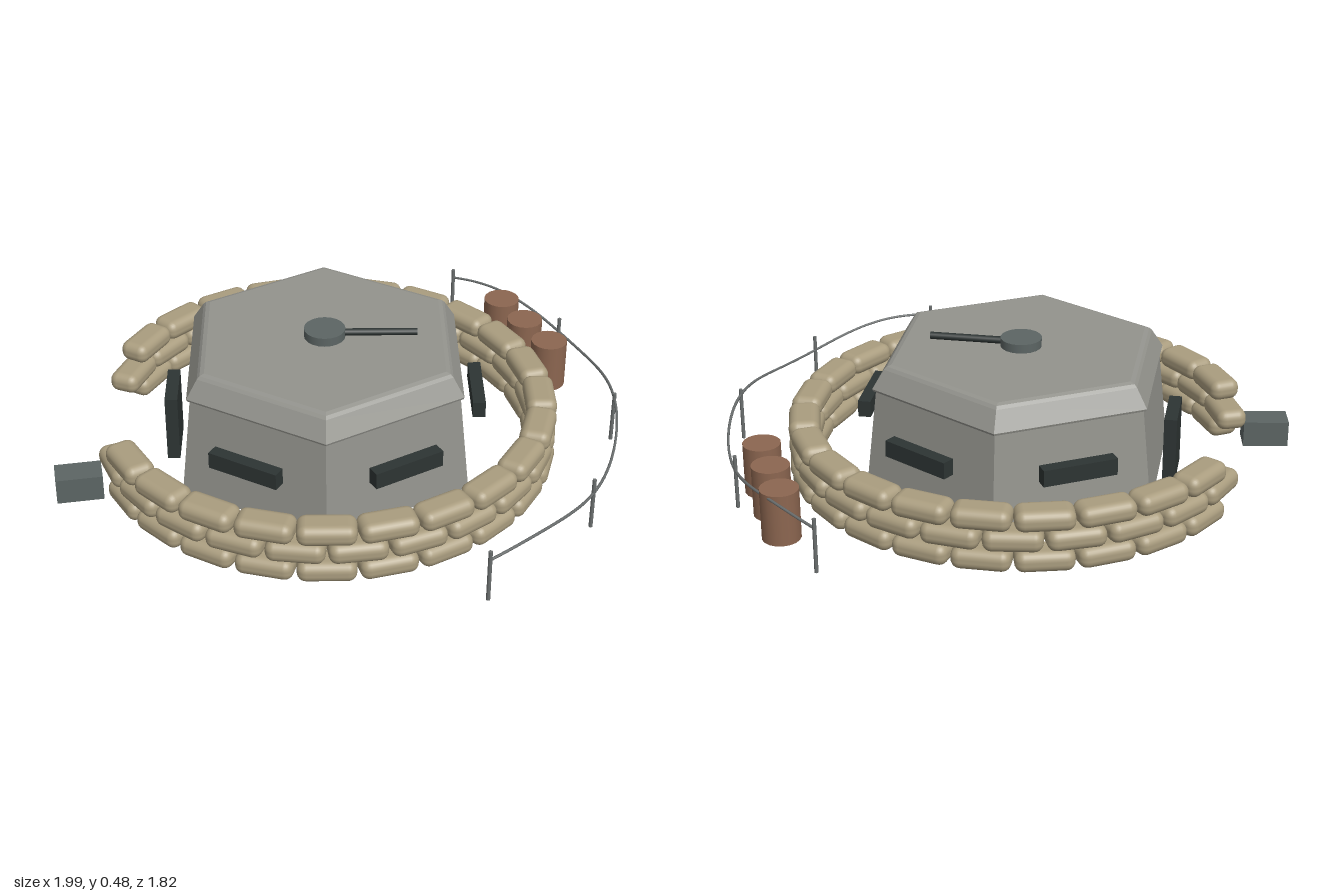
import * as THREE from 'three';
import { RoundedBoxGeometry } from 'three/addons/geometries/RoundedBoxGeometry.js';

const CX = -0.05; // shared centre of bunker, sandbag ring and wire
const RAD = Math.PI / 180;

function material(name, color) {
  const m = new THREE.MeshStandardMaterial({ color });
  m.name = name;
  return m;
}

export function createModel() {
  const concrete = material('concrete', 0x93938d);
  const sandbag = material('sandbag', 0xaa9d7f);
  const rust = material('rust', 0x8c6650);
  const steel = material('steel', 0x5c6564);
  const dark = material('dark metal', 0x2d3433);
  const wireGrey = material('wire grey', 0x6c7070);

  const model = new THREE.Group();
  model.name = 'bunker';

  function add(name, geometry, mat, x, y, z, rotY = 0, parent = model) {
    const mesh = new THREE.Mesh(geometry, mat);
    mesh.name = name;
    mesh.position.set(x, y, z);
    mesh.rotation.y = rotY;
    parent.add(mesh);
    return mesh;
  }
  function addGroup(name) {
    const g = new THREE.Group();
    g.name = name;
    model.add(g);
    return g;
  }
  // Place something on a circle round the bunker, angle measured from +x
  const polar = (deg, r) => [CX + r * Math.cos(deg * RAD), -r * Math.sin(deg * RAD)];

  // Six-sided faceted body from a [radius, height] profile
  function hexBody(profile) {
    const pts = profile.map(([r, y]) => new THREE.Vector2(r, y));
    const g = new THREE.LatheGeometry(pts, 6).toNonIndexed();
    g.computeVertexNormals();
    return g;
  }

  // Concrete walls and bevelled roof slab
  add('walls', hexBody([[0, 0], [0.577, 0], [0.535, 0.356], [0, 0.356]]), concrete, CX, 0, 0);
  add('roof', hexBody([
    [0, 0.355], [0.533, 0.355], [0.545, 0.36], [0.548, 0.368],
    [0.504, 0.435], [0.493, 0.445], [0.476, 0.45], [0, 0.45],
  ]), concrete, CX, 0, 0);

  // Firing slits on five sides, door on the remaining one
  const slits = addGroup('firingSlits');
  const slitGeo = new THREE.BoxGeometry(0.045, 0.06, 0.265);
  for (const deg of [0, 60, 120, 240, 300]) {
    const [x, z] = polar(deg, 0.542);
    add('firingSlit', slitGeo, dark, x, 0.22, z, deg * RAD, slits);
  }
  add('door', new THREE.BoxGeometry(0.045, 0.25, 0.2), dark, CX - 0.543, 0.125, 0);

  // Roof turret and gun barrel
  add('turret', new THREE.CylinderGeometry(0.073, 0.073, 0.034, 20), steel, CX, 0.465, 0);
  const gun = add('gunBarrel', new THREE.CylinderGeometry(0.013, 0.013, 0.32, 10), dark, CX + 0.165, 0.465, 0);
  gun.rotation.z = Math.PI / 2;

  // Three staggered courses of sandbags, open on the door side
  const wall = addGroup('sandbagWall');
  const bagGeo = new RoundedBoxGeometry(0.11, 0.075, 0.2, 3, 0.032);
  for (let row = 0; row < 3; row++) {
    const last = row === 1 ? 157.5 : 150;
    for (let deg = -last; deg <= last; deg += 15) {
      const [x, z] = polar(deg, 0.77);
      add('sandbag', bagGeo, sandbag, x, 0.04 + row * 0.0735, z, deg * RAD, wall);
    }
  }

  // Fuel drums
  const drums = addGroup('drums');
  const drumGeo = new THREE.CylinderGeometry(0.067, 0.067, 0.185, 18);
  for (const [x, z] of [[0.645, -0.695], [0.72, -0.54], [0.797, -0.385]]) {
    add('drum', drumGeo, rust, x, 0.0925, z, 0, drums);
  }

  // Crate by the entrance
  add('crate', new THREE.BoxGeometry(0.163, 0.095, 0.098), steel, -0.909, 0.0475, 0.305, 0.165);

  // Fence posts and the sagging wire along them
  const fence = addGroup('wireFence');
  const postGeo = new THREE.CylinderGeometry(0.007, 0.007, 0.197, 8);
  for (let deg = -60; deg <= 60; deg += 30) {
    const [x, z] = polar(deg, 1.04);
    add('post', postGeo, wireGrey, x, 0.0985, z, 0, fence);
  }
  const wirePts = [];
  for (let deg = -60; deg <= 60; deg += 4) {
    const [x, z] = polar(deg, 1.04);
    wirePts.push(new THREE.Vector3(x, 0.156 + 0.02 * Math.cos(7.2 * deg * RAD), z));
  }
  const wireGeo = new THREE.TubeGeometry(new THREE.CatmullRomCurve3(wirePts), 80, 0.005, 6);
  add('wire', wireGeo, wireGrey, 0, 0, 0, 0, fence);

  return model;
}
